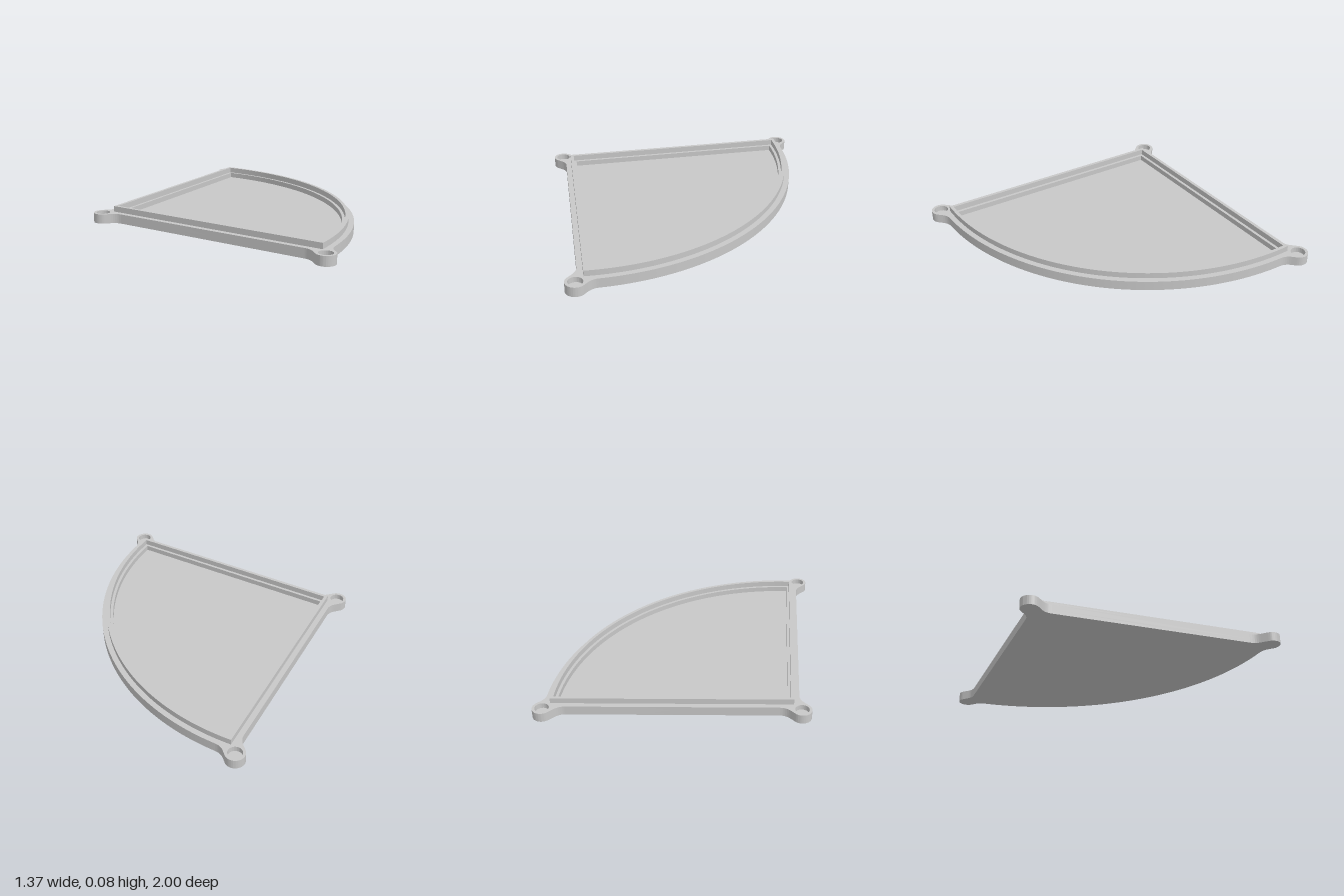
import * as THREE from 'three';
import { toCreasedNormals } from 'three/addons/utils/BufferGeometryUtils.js';

const APEX = -0.578, R = 1.235, HALF = THREE.MathUtils.degToRad(46.6);
const LUG = 0.05, HOLE = 0.036, RIM = 0.028, FILLET = 0.032;
const LUGS = [[-0.635, 0], [0.267, -0.95], [0.267, 0.95]];

// Circular sector, inset by d on all sides
function sector(d, Type = THREE.Shape) {
  const r = R - d, a = HALF - Math.asin(d / r);
  const s = new Type();
  s.absarc(APEX, 0, r, -a, a, false);
  s.lineTo(APEX + d / Math.sin(HALF), 0);
  s.closePath();
  return s;
}

// Outer outline: sector with a filleted lug at each corner
function outline() {
  const s = new THREE.Shape();
  const ax = APEX - RIM / Math.sin(HALF), r = R + RIM;
  const [[x0], [x1, z1]] = LUGS;
  const c = Math.cos(HALF) * FILLET, n = Math.sin(HALF) * FILLET;
  const mx = ax + LUG / Math.tan(HALF);            // neck meets straight edge
  const left = x1 - LUG, right = x1 + LUG;
  const mz = (left - ax) * Math.tan(HALF);
  const rz = Math.sqrt(r * r - (right - APEX) ** 2); // neck meets the arc
  const a = Math.asin(rz / r) - FILLET / r;
  const px = APEX + r * Math.cos(a), pz = r * Math.sin(a);

  s.absarc(x0, 0, LUG, Math.PI / 2, Math.PI * 1.5, false);
  s.lineTo(mx - FILLET, -LUG);
  s.quadraticCurveTo(mx, -LUG, mx + c, -LUG - n);
  s.lineTo(left - c, -mz + n);
  s.quadraticCurveTo(left, -mz, left, -mz - FILLET);
  s.absarc(x1, z1, LUG, Math.PI, Math.PI * 2, false);
  s.lineTo(right, -rz - FILLET);
  s.quadraticCurveTo(right, -rz, px, -pz);
  s.absarc(APEX, 0, r, -a, a, false);
  s.quadraticCurveTo(right, rz, right, rz + FILLET);
  s.absarc(x1, -z1, LUG, 0, Math.PI, false);
  s.lineTo(left, mz + FILLET);
  s.quadraticCurveTo(left, mz, left - c, mz - n);
  s.lineTo(mx + c, LUG + n);
  s.quadraticCurveTo(mx, LUG, mx - FILLET, LUG);
  s.closePath();
  return s;
}

export function createModel() {
  const group = new THREE.Group();
  const grey = new THREE.MeshStandardMaterial({ color: 0xc8c8c8 });
  grey.name = 'light grey';

  const layer = (name, shape, y0, y1) => {
    const geo = new THREE.ExtrudeGeometry(shape, { depth: y1 - y0, bevelEnabled: false, curveSegments: 40 });
    geo.rotateX(-Math.PI / 2).translate(0, y0, 0);
    const mesh = new THREE.Mesh(toCreasedNormals(geo, 0.5), grey);
    mesh.name = name;
    group.add(mesh);
  };

  // Solid floor, closed underneath
  layer('floorPlate', outline(), 0, 0.022);

  // Rim with the recessed tray and the blind lug holes
  const rim = outline();
  rim.holes.push(sector(0.032, THREE.Path));
  for (const [x, z] of LUGS) {
    const hole = new THREE.Path();
    hole.absarc(x, z, HOLE, 0, Math.PI * 2, true);
    rim.holes.push(hole);
  }
  layer('rimWithLugs', rim, 0.022, 0.05);

  // Thin raised lip
  const lip = sector(0);
  lip.holes.push(sector(0.017, THREE.Path));
  layer('raisedLip', lip, 0.05, 0.08);

  return group;
}
